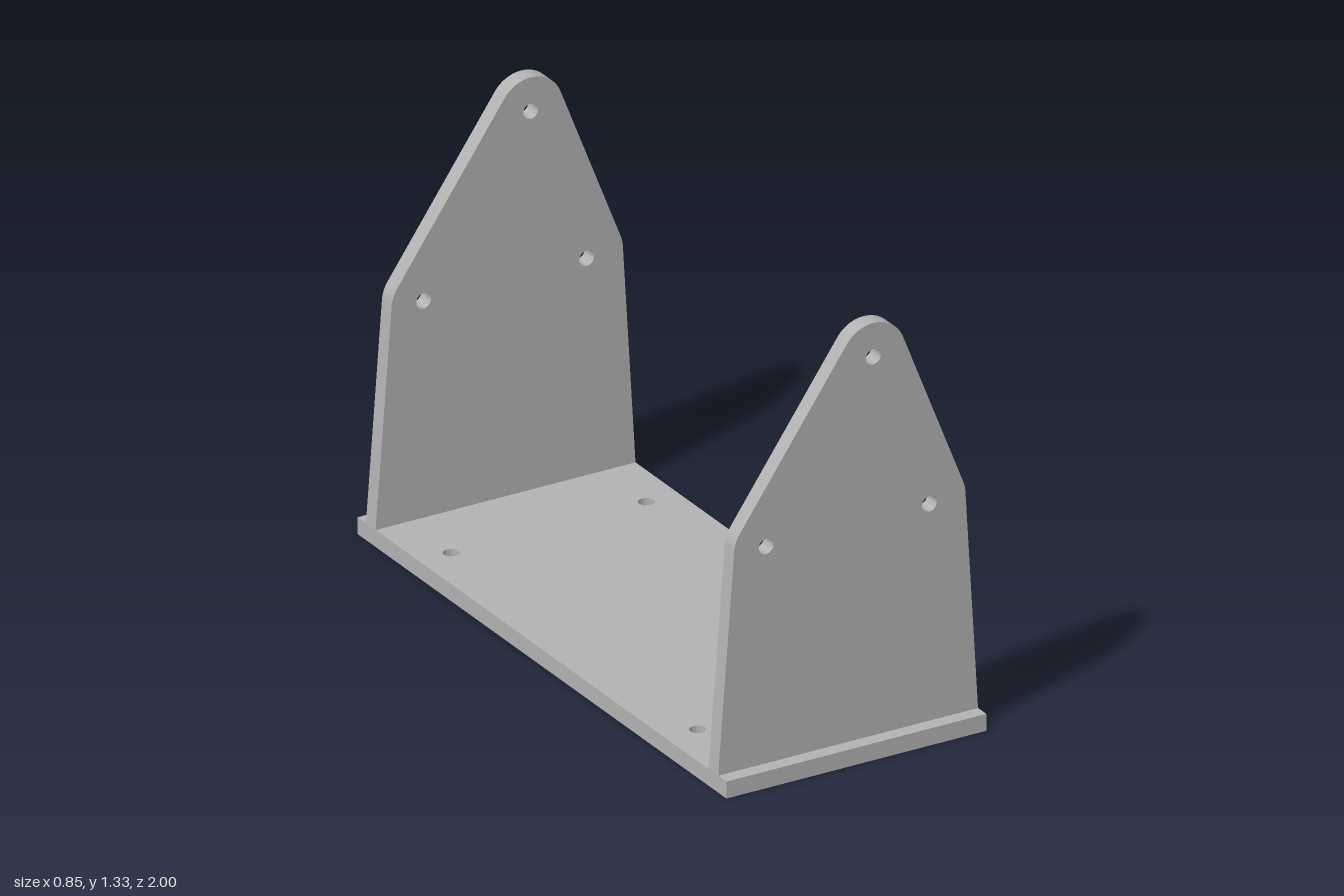
import * as THREE from 'three';
import { toCreasedNormals } from 'three/addons/utils/BufferGeometryUtils.js';

const THICK = 0.0525;
const HOLE = 0.024;

// Extrudes an outline with round bolt holes into a flat plate, keeping edges crisp
function plateGeometry(shape, holes) {
  for (const [x, y] of holes) {
    shape.holes.push(new THREE.Path().absarc(x, y, HOLE, 0, Math.PI * 2, true));
  }
  const geometry = new THREE.ExtrudeGeometry(shape, { depth: THICK, bevelEnabled: false, curveSegments: 24 });
  return toCreasedNormals(geometry, 0.5);
}

export function createModel() {
  const group = new THREE.Group();
  group.name = 'bracket';
  const grey = new THREE.MeshStandardMaterial({ color: 0xb2b2b2 });
  grey.name = 'grey';

  // Base plate with four mounting holes
  const W = 0.425, L = 1;
  const baseShape = new THREE.Shape([
    new THREE.Vector2(-W, -L), new THREE.Vector2(W, -L),
    new THREE.Vector2(W, L), new THREE.Vector2(-W, L),
  ]);
  const hx = 0.319, hz = 0.668;
  const baseGeometry = plateGeometry(baseShape, [[-hx, -hz], [hx, -hz], [hx, hz], [-hx, hz]]);
  baseGeometry.rotateX(-Math.PI / 2);
  const base = new THREE.Mesh(baseGeometry, grey);
  base.name = 'basePlate';
  group.add(base);

  // Upright outline: tapered sides, rounded shoulders and an off-centre rounded tip
  const right = [0.266, 0.726], tip = [0.082, 1.228], left = [-0.268, 0.726];
  const rightAngle = Math.atan2(0.37, 0.929);
  const leftAngle = Math.atan2(0.577, -0.817);
  const upright = new THREE.Shape();
  upright.moveTo(-W, THICK);
  upright.lineTo(W, THICK);
  upright.absarc(...right, 0.118, 0.06, rightAngle, false);
  upright.absarc(...tip, 0.105, rightAngle, leftAngle, false);
  upright.absarc(...left, 0.105, leftAngle, Math.PI - 0.076, false);
  upright.closePath();
  const uprightGeometry = plateGeometry(upright, [right, tip, left]);

  // The same upright stands near each end of the base
  for (const [name, z] of [['frontUpright', 0.9025], ['backUpright', -0.9025 - THICK]]) {
    const mesh = new THREE.Mesh(uprightGeometry, grey);
    mesh.name = name;
    mesh.position.z = z;
    group.add(mesh);
  }
  return group;
}
